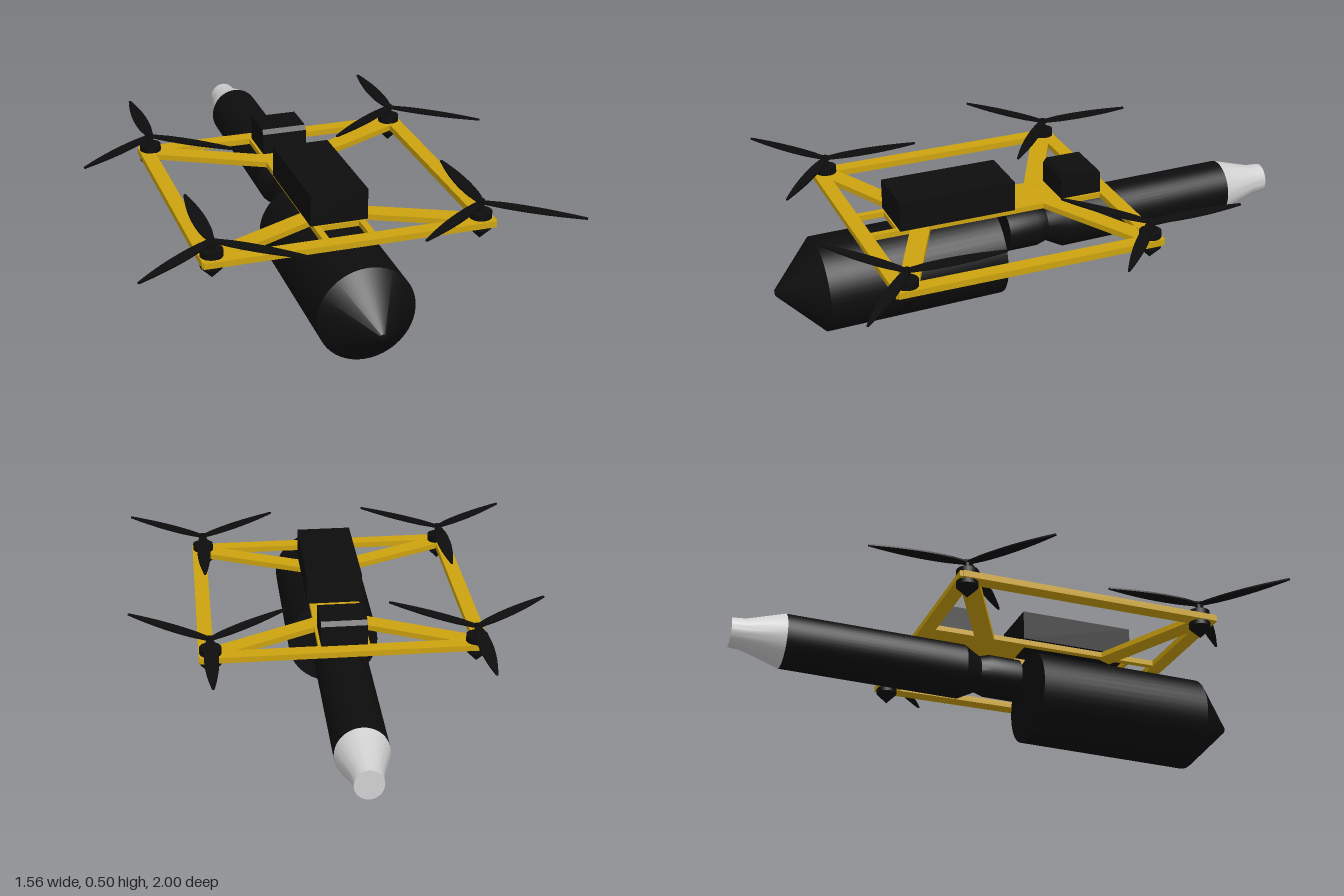
import * as THREE from 'three';
import { toCreasedNormals } from 'three/addons/utils/BufferGeometryUtils.js';

const material = (name, color, side = THREE.FrontSide) => {
  const m = new THREE.MeshStandardMaterial({ color, side });
  m.name = name;
  return m;
};

export function createModel() {
  const model = new THREE.Group();
  model.name = 'quadcopter';
  const black = material('matte black', 0x0d0d0d, THREE.DoubleSide);
  const yellow = material('frame yellow', 0xcda30f);
  const silver = material('light grey', 0xd0d0d0);

  const add = (name, geometry, mat, x = 0, y = 0, z = 0, parent = model) => {
    const mesh = new THREE.Mesh(geometry, mat);
    mesh.name = name;
    mesh.position.set(x, y, z);
    parent.add(mesh);
    return mesh;
  };

  // Body of revolution along z, from [radius, z] pairs with rising z
  const turned = (pairs) => {
    const g = new THREE.LatheGeometry(pairs.map(([r, z]) => new THREE.Vector2(r, z)), 48);
    return toCreasedNormals(g.rotateX(Math.PI / 2), 0.35);
  };

  // Large forward pod with a conical nose, pitched slightly nose down
  const pod = add('forwardPod', turned([[0, -0.34], [0.175, -0.34], [0.177, 0.34], [0.012, 0.5], [0, 0.5]]),
    black, 0, 0.185, 0.5);
  pod.rotation.x = 0.015;

  // Rear tube with a stepped neck and a pale tapered nozzle
  const tail = new THREE.Group();
  tail.name = 'tailTube';
  tail.position.set(0, 0.258, -0.3);
  tail.rotation.x = 0.014;
  tail.scale.x = 0.94;
  model.add(tail);
  add('tube', turned([[0, -0.505], [0.103, -0.505], [0.105, 0.185], [0.07, 0.25], [0.082, 0.29], [0.082, 0.41], [0, 0.41]]),
    black, 0, 0, 0, tail);
  add('nozzle', turned([[0, -0.7], [0.055, -0.7], [0.06, -0.645], [0.103, -0.505], [0, -0.505]]),
    silver, 0, 0, 0, tail);

  // Flat beams between two points of the frame plane
  const frame = new THREE.Group();
  frame.name = 'frame';
  model.add(frame);
  const beam = (name, x1, z1, x2, z2, width, height = 0.022) => {
    const g = new THREE.BoxGeometry(width, height, Math.hypot(x2 - x1, z2 - z1));
    const mesh = add(name, g, yellow, (x1 + x2) / 2, 0.375, (z1 + z2) / 2, frame);
    mesh.rotation.y = Math.atan2(x2 - x1, z2 - z1);
  };
  beam('frontCrossbar', -0.525, 0.68, 0.525, 0.68, 0.055);
  beam('rearCrossbar', -0.525, -0.273, 0.525, -0.273, 0.055);
  beam('centrePlate', 0, -0.28, 0, 0.12, 0.19, 0.02);
  beam('deckEdge', -0.09, 0.55, 0.09, 0.55, 0.012, 0.02);
  for (const s of [-1, 1]) {
    beam('sideRail', s * 0.502, -0.29, s * 0.502, 0.7, 0.055, 0.024);
    beam('rearDiagonal', s * 0.49, -0.255, s * 0.06, -0.035, 0.07, 0.021);
    beam('frontDiagonal', s * 0.49, 0.655, s * 0.06, 0.455, 0.07, 0.021);
    beam('centreRail', s * 0.083, 0.1, s * 0.083, 0.68, 0.024, 0.021);
  }

  // Battery box and the chamfered rear electronics box
  add('batteryBox', new THREE.BoxGeometry(0.21, 0.115, 0.445), black, 0, 0.443, 0.328);
  const side = new THREE.Shape([[-0.08, 0], [0.08, 0], [0.08, 0.08], [0.068, 0.097], [-0.068, 0.097], [-0.08, 0.08]]
    .map(([x, y]) => new THREE.Vector2(x, y)));
  const boxGeometry = new THREE.ExtrudeGeometry(side, { depth: 0.17, bevelEnabled: false });
  boxGeometry.translate(0, 0, -0.085).rotateY(Math.PI / 2);
  add('electronicsBox', boxGeometry, black, 0, 0.384, -0.17);

  // Propeller blade outline, pointing along +y of its shape before being laid flat
  const bladeGeometry = (length) => {
    const blade = new THREE.Shape();
    blade.moveTo(-0.012, 0);
    blade.lineTo(-0.024, 0.07);
    blade.bezierCurveTo(-0.03, 0.14, -0.03, 0.23, -0.004, length);
    blade.lineTo(0.004, length);
    blade.bezierCurveTo(0.028, 0.24, 0.028, 0.15, 0.022, 0.07);
    blade.lineTo(0.012, 0);
    return new THREE.ExtrudeGeometry(blade, { depth: 0.006, bevelEnabled: false, curveSegments: 8 })
      .translate(0, 0, -0.003).rotateX(-Math.PI / 2);
  };
  const blades = [[0, -0.365], [0.293, 0.23], [-0.293, 0.218]].map(([x, z]) => ({
    geometry: bladeGeometry(Math.hypot(x, z)), turn: Math.atan2(-x, -z), width: x ? 0.85 : 1,
  }));

  // Motor, shaft, lower cone and three-bladed propeller at each corner
  const motorGeometry = new THREE.CylinderGeometry(0.04, 0.04, 0.065, 24);
  const shaftGeometry = new THREE.CylinderGeometry(0.012, 0.012, 0.05, 16);
  const coneGeometry = new THREE.ConeGeometry(0.04, 0.042, 24).rotateX(Math.PI);
  for (const x of [-0.486, 0.486]) {
    for (const z of [-0.26, 0.655]) {
      const unit = new THREE.Group();
      unit.name = 'rotorUnit';
      unit.position.set(x, 0, z);
      model.add(unit);
      add('motor', motorGeometry, black, 0, 0.378, 0, unit);
      add('shaft', shaftGeometry, black, 0, 0.428, 0, unit);
      add('motorCone', coneGeometry, black, 0, 0.325, 0, unit);
      for (const { geometry, turn, width } of blades) {
        const blade = add('propellerBlade', geometry, black, 0, 0.443, 0, unit);
        blade.rotation.y = turn;
        blade.scale.x = width;
      }
    }
  }
  return model;
}
